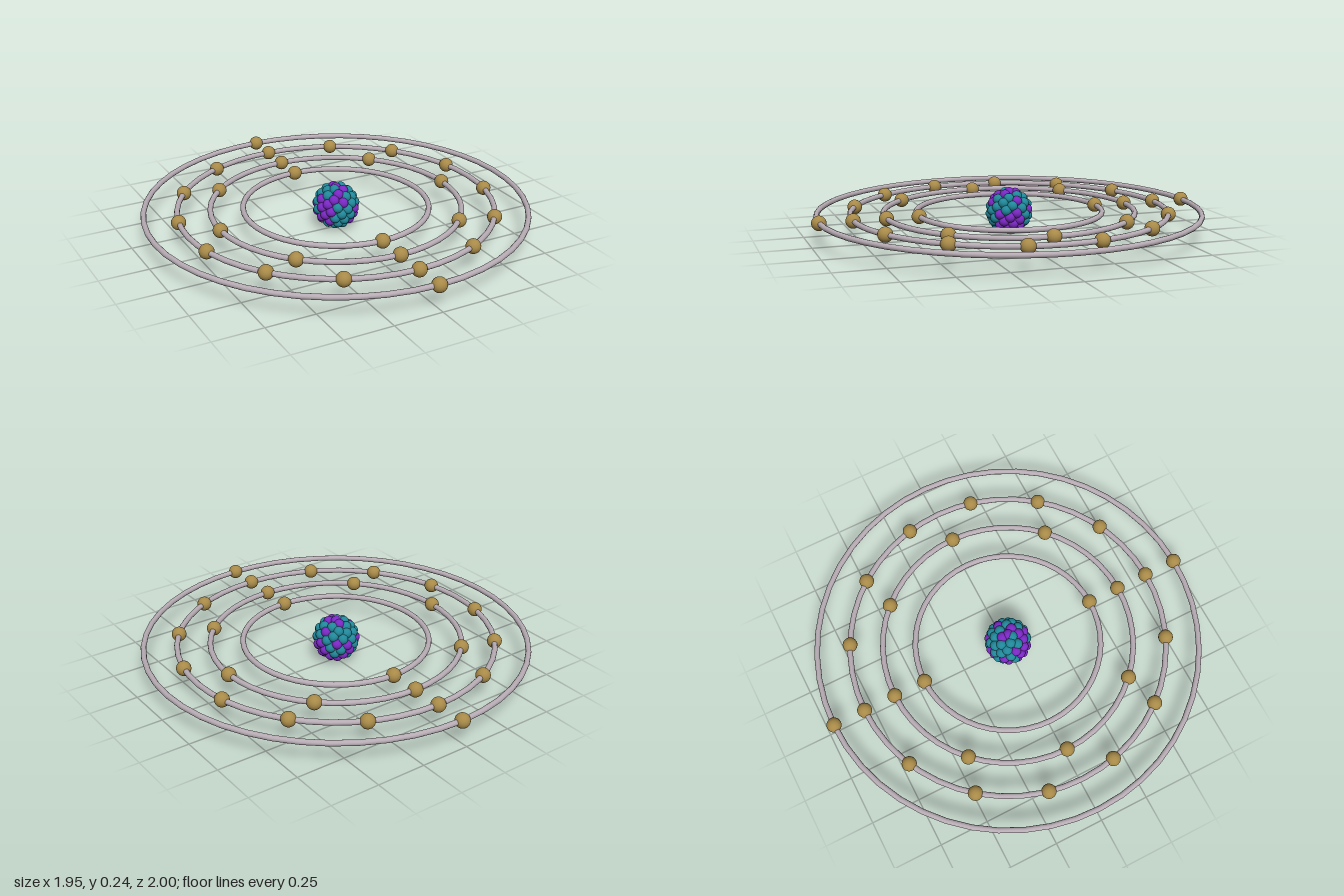
import * as THREE from 'three';

const CENTRE_Y = 0.12;
const mat = (color) => new THREE.MeshStandardMaterial({ color });

// Each orbit: radius and number of evenly spaced electrons
const ORBITS = [[0.468, 2], [0.632, 8], [0.797, 14], [0.963, 2]];

function buildNucleus() {
  const nucleus = new THREE.Group();
  nucleus.name = 'nucleus';
  const proton = mat(0x7a28c4), neutron = mat(0x20889a);
  const ball = new THREE.SphereGeometry(0.026, 20, 14);
  const count = 72, shell = 0.094;

  // seeded generator for the mix of the two particle kinds
  let seed = 7;
  const random = () => (seed = (seed * 16807) % 2147483647) / 2147483647;

  // particles spread evenly over a sphere along a golden-angle spiral
  for (let i = 0; i < count; i++) {
    const y = 1 - (2 * i) / (count - 1);
    const r = Math.sqrt(Math.max(0, 1 - y * y));
    const a = i * Math.PI * (3 - Math.sqrt(5));
    const isProton = random() < 0.47;
    const particle = new THREE.Mesh(ball, isProton ? proton : neutron);
    particle.name = isProton ? 'proton' : 'neutron';
    particle.position.set(r * Math.cos(a), y, r * Math.sin(a)).multiplyScalar(shell);
    nucleus.add(particle);
  }

  // solid core closing the gaps between particles
  const core = new THREE.Mesh(new THREE.SphereGeometry(0.09, 24, 16), proton);
  core.name = 'nucleusCore';
  nucleus.add(core);
  return nucleus;
}

function buildOrbit(radius, electrons, ringMat, electronMat, ball) {
  const orbit = new THREE.Group();
  orbit.name = 'orbit';

  const ring = new THREE.Mesh(new THREE.TorusGeometry(radius, 0.014, 12, 48), ringMat);
  ring.name = 'orbitRing';
  ring.rotation.x = Math.PI / 2;
  orbit.add(ring);

  for (let i = 0; i < electrons; i++) {
    const a = (i / electrons) * Math.PI * 2;
    const electron = new THREE.Mesh(ball, electronMat);
    electron.name = 'electron';
    electron.position.set(radius * Math.sin(a), 0, radius * Math.cos(a));
    orbit.add(electron);
  }
  return orbit;
}

export function createModel() {
  const model = new THREE.Group();
  model.name = 'atomModel';

  const atom = new THREE.Group();
  atom.name = 'atom';
  atom.position.y = CENTRE_Y;
  atom.add(buildNucleus());

  const ringMat = mat(0xb8acb4), electronMat = mat(0xa88a48);
  const ball = new THREE.SphereGeometry(0.037, 24, 16);
  for (const [radius, electrons] of ORBITS) {
    atom.add(buildOrbit(radius, electrons, ringMat, electronMat, ball));
  }
  model.add(atom);
  return model;
}
